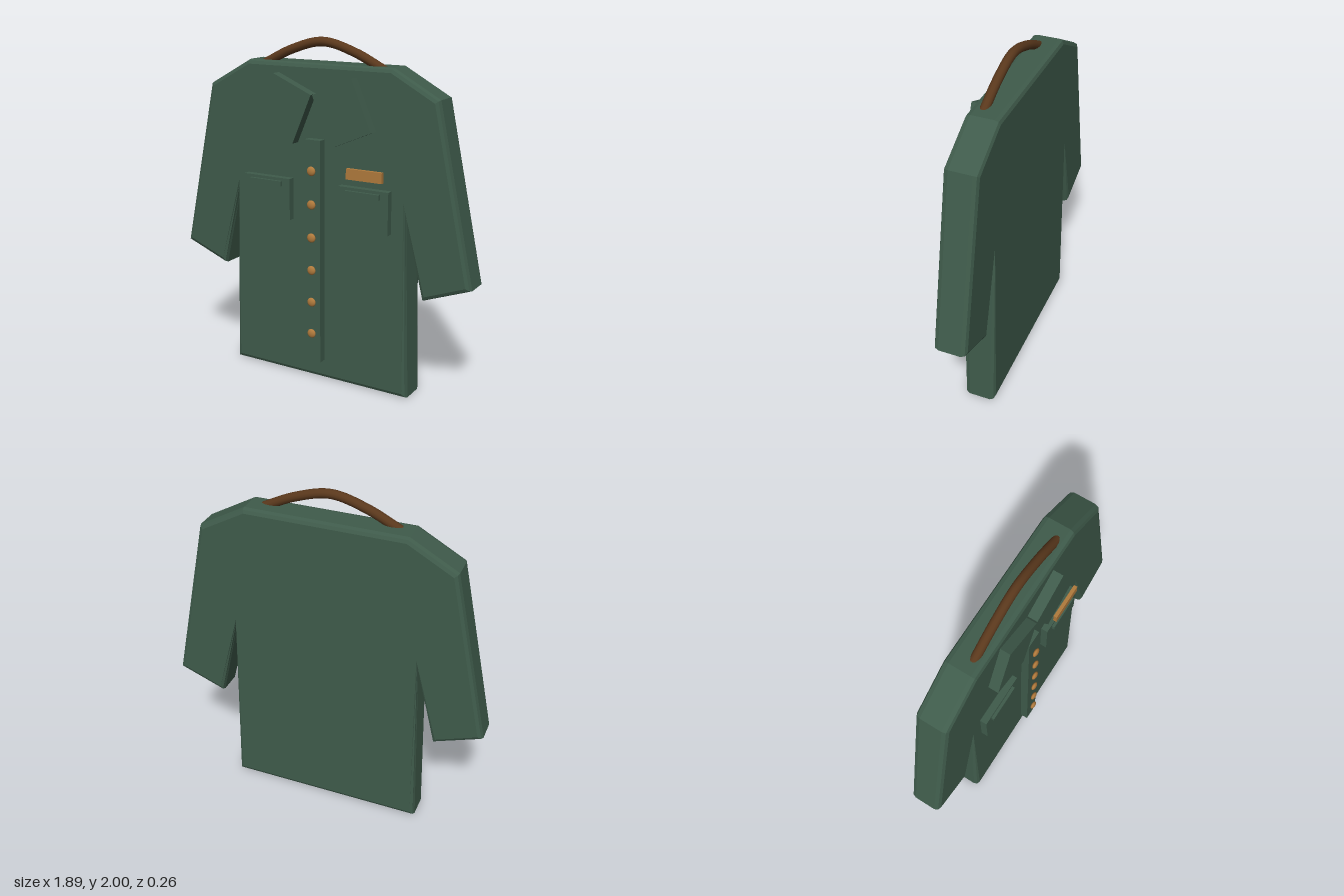
import * as THREE from 'three';

const green = new THREE.MeshStandardMaterial({ name: 'greenCloth', color: 0x3f5b4b });
const brass = new THREE.MeshStandardMaterial({ name: 'brass', color: 0xb07a3c });
const leather = new THREE.MeshStandardMaterial({ name: 'brownLeather', color: 0x5a381c });

export function createModel() {
  const group = new THREE.Group();
  group.name = 'shirt';

  const add = (name, geometry, material, x = 0, y = 0, z = 0) => {
    const mesh = new THREE.Mesh(geometry, material);
    mesh.name = name;
    mesh.position.set(x, y, z);
    group.add(mesh);
    return mesh;
  };

  // Box given by its centre in x and y, its size, and its back and front z
  const slab = (name, material, x, y, w, h, back, front) =>
    add(name, new THREE.BoxGeometry(w, h, front - back), material, x, y, (back + front) / 2);

  // Body and sleeves: half outline from collar to hem, mirrored and bevelled
  const half = [
    [0.453, 1.835], [0.708, 1.694], [0.916, 0.726],
    [0.678, 0.634], [0.541, 1.145], [0.558, 0.025],
  ];
  const outline = [
    ...half.map(([x, y]) => new THREE.Vector2(x, y)),
    ...half.map(([x, y]) => new THREE.Vector2(-x, y)).reverse(),
  ];
  const bodyGeometry = new THREE.ExtrudeGeometry(new THREE.Shape(outline), {
    depth: 0.127, bevelEnabled: true, bevelThickness: 0.03, bevelSize: 0.025, bevelSegments: 2,
  });
  add('bodyAndSleeves', bodyGeometry, green, 0, 0, -0.1);

  // Button strip down the front
  slab('placket', green, 0, 0.782, 0.1, 1.325, 0.04, 0.105);

  // Six flattened buttons
  const buttonGeometry = new THREE.SphereGeometry(0.027, 16, 12);
  buttonGeometry.scale(1, 1, 0.48);
  for (let i = 0; i < 6; i++) {
    add('button', buttonGeometry, brass, 0, 0.3 + i * 0.194, 0.12);
  }

  for (const side of [-1, 1]) {
    // Tilted collar flaps
    const collar = slab('collarFlap', green, side * 0.187, 1.606, 0.266, 0.307, 0.04, 0.116);
    collar.rotation.z = side * 0.405;
    // Chest pockets with a raised trim
    slab('pocket', green, side * 0.315, 1.08, 0.312, 0.243, 0.04, 0.097);
    slab('pocketTrim', green, side * 0.315, 1.17, 0.212, 0.03, 0.095, 0.114);
  }

  // Plain plate above the wearer's left pocket
  slab('chestPlate', brass, 0.33, 1.28, 0.22, 0.06, 0.096, 0.117);

  // Carrying handle
  const path = new THREE.CatmullRomCurve3([
    [-0.385, 1.838], [-0.2, 1.925], [0, 1.974], [0.2, 1.925], [0.385, 1.838],
  ].map(([x, y]) => new THREE.Vector3(x, y, -0.008)));
  add('handle', new THREE.TubeGeometry(path, 32, 0.026, 12), leather);

  return group;
}
